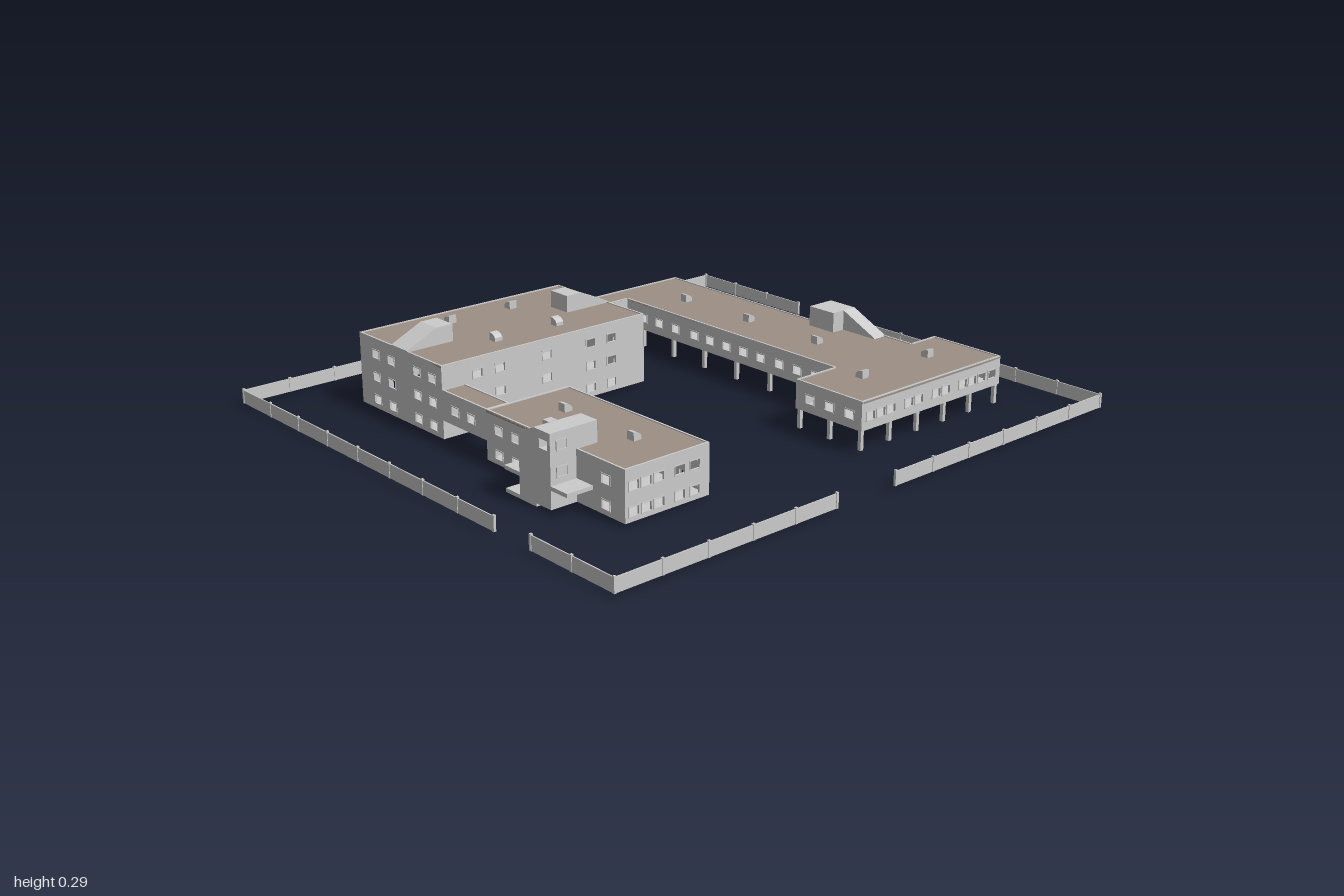
import * as THREE from 'three';
import { mergeGeometries } from 'three/addons/utils/BufferGeometryUtils.js';

const grey = new THREE.MeshStandardMaterial({ color: 0xcccccc });
const brown = new THREE.MeshStandardMaterial({ color: 0x9c8f85 });
const WALL = 0.006, WIN_W = 0.036, WIN_H = 0.028;

const toShape = (pts) => new THREE.Shape(pts.map(([x, y]) => new THREE.Vector2(x, y)));
const extrude = (shape, depth) => new THREE.ExtrudeGeometry(shape, { depth, bevelEnabled: false });
const rectPts = (x0, x1, y0, y1) => [[x0, y0], [x1, y0], [x1, y1], [x0, y1]];

function rectHole(u, y, w, h) {
  return new THREE.Path(rectPts(u - w / 2, u + w / 2, y - h / 2, y + h / 2).map((p) => new THREE.Vector2(...p)));
}

function add(parent, name, geometry, material = grey) {
  const mesh = new THREE.Mesh(geometry, material);
  mesh.name = name;
  parent.add(mesh);
  return mesh;
}

// Box given by its extents
function boxGeo(x0, x1, y0, y1, z0, z1) {
  return new THREE.BoxGeometry(x1 - x0, y1 - y0, z1 - z0)
    .translate((x0 + x1) / 2, (y0 + y1) / 2, (z0 + z1) / 2);
}

// Horizontal slab over a footprint of [x, z] corners
function slabGeo(footprint, y0, y1) {
  return extrude(toShape(footprint.map(([x, z]) => [x, -z])), y1 - y0)
    .rotateX(-Math.PI / 2).translate(0, y0, 0);
}

// Prism with a z/y profile, running from x0 to x1
function sidePrism(pts, x0, x1, hole) {
  const shape = toShape(pts);
  if (hole) shape.holes.push(hole);
  return extrude(shape, x1 - x0).rotateY(-Math.PI / 2).translate(x1, 0, 0);
}

// Raised rim around a window opening
function frameGeo(u, y) {
  const shape = toShape(rectPts(u - WIN_W / 2 - 0.002, u + WIN_W / 2 + 0.002, y - WIN_H / 2 - 0.002, y + WIN_H / 2 + 0.002));
  shape.holes.push(rectHole(u, y, WIN_W - 0.002, WIN_H - 0.002));
  return extrude(shape, 0.004).translate(0, 0, -0.002);
}

// Hollow building: one pierced wall per footprint edge, a floor and a sunken roof.
// windows[i] lists positions (world x or z) along edge i.
function building(name, footprint, y0, y1, rows, windows) {
  const group = new THREE.Group();
  group.name = name;
  const walls = [], frames = [];
  footprint.forEach(([ax, az], i) => {
    const [bx, bz] = footprint[(i + 1) % footprint.length];
    const length = Math.hypot(bx - ax, bz - az);
    const shape = toShape(rectPts(0, length, y0, y1));
    const place = (g) => g.rotateY(Math.atan2(az - bz, bx - ax)).translate(ax, 0, az);
    for (const at of windows[i] || []) {
      const u = Math.abs(at - (Math.abs(bx - ax) > Math.abs(bz - az) ? ax : az));
      for (const y of rows) {
        shape.holes.push(rectHole(u, y, WIN_W, WIN_H));
        frames.push(place(frameGeo(u, y)));
      }
    }
    walls.push(place(extrude(shape, WALL)));
  });
  add(group, 'walls', mergeGeometries(walls));
  if (frames.length) add(group, 'windowFrames', mergeGeometries(frames));
  add(group, 'floor', slabGeo(footprint, y0, y0 + 0.005));
  add(group, 'roof', slabGeo(footprint, y1 - 0.009, y1 - 0.003), brown);
  return group;
}

// Roof vent with a rounded hood
function vent(parent, x, z, y, turn) {
  const shape = new THREE.Shape();
  shape.moveTo(-0.014, 0);
  shape.lineTo(0.014, 0);
  shape.lineTo(0.014, 0.012);
  shape.quadraticCurveTo(0.01, 0.024, -0.014, 0.027);
  const mesh = add(parent, 'roofVent', extrude(shape, 0.028).translate(0, 0, -0.014));
  mesh.position.set(x, y - 0.004, z);
  mesh.rotation.y = turn;
}

// Straight fence run along x or z with evenly spaced posts
function fence(parent, ax, az, bx, bz) {
  const t = 0.002;
  const parts = [boxGeo(Math.min(ax, bx) - t, Math.max(ax, bx) + t, 0.01, 0.054, Math.min(az, bz) - t, Math.max(az, bz) + t)];
  const n = Math.max(1, Math.round(Math.hypot(bx - ax, bz - az) / 0.165));
  for (let i = 0; i <= n; i++) {
    const x = ax + (bx - ax) * i / n, z = az + (bz - az) * i / n;
    parts.push(boxGeo(x - 0.004, x + 0.004, 0.01, 0.058, z - 0.004, z + 0.004));
  }
  add(parent, 'fence', mergeGeometries(parts));
}

export function createModel() {
  const model = new THREE.Group();
  model.name = 'campus';

  // Main three-storey block
  const mainX = [-0.64, -0.575, -0.49, -0.31, -0.135, -0.05, 0.03];
  const mainZ = [-0.585, -0.5, -0.36, -0.28];
  const main = building('mainBlock', [[-0.705, -0.675], [0.087, -0.675], [0.087, -0.23], [-0.705, -0.23]],
    0.01, 0.242, [0.04, 0.115, 0.19], [mainX, mainZ, mainX.slice(1, 6), mainZ]);
  model.add(main);
  for (const x of [-0.43, -0.19]) for (const z of [-0.575, -0.33]) vent(main, x, z, 0.242, z < -0.5 ? Math.PI / 2 : -Math.PI / 2);

  // Sloping stair heads at both ends of the main roof
  const head = (pts) => add(main, 'roofStairHead', extrude(toShape(pts), 0.085).translate(0, 0, -0.495));
  head([[-0.705, 0.235], [-0.535, 0.235], [-0.535, 0.295], [-0.595, 0.295], [-0.705, 0.244]]);
  head([[-0.085, 0.235], [0.087, 0.235], [0.087, 0.244], [-0.03, 0.295], [-0.085, 0.295]]);

  // Two-storey left block
  const sideZ = [0.05, 0.11, 0.17, 0.28, 0.34, 0.45, 0.51, 0.57];
  const left = building('sideBlock', [[-0.705, -0.01], [-0.4, -0.01], [-0.4, 0.61], [-0.705, 0.61]],
    0.01, 0.167, [0.04, 0.115], [[-0.57, -0.51, -0.45], sideZ, [-0.675, -0.63, -0.585, -0.51, -0.455], [0.05, 0.13, 0.53]]);
  model.add(left);
  for (const z of [0.145, 0.45]) vent(left, -0.535, z, 0.167, 0);

  // Stair tower on the left block, with entrance canopies
  const tower = new THREE.Group();
  tower.name = 'stairTower';
  model.add(tower);
  add(tower, 'towerBase', boxGeo(-0.795, -0.705, 0.01, 0.165, 0.265, 0.405));
  add(tower, 'towerHead', sidePrism([[0.265, 0.165], [0.405, 0.165], [0.405, 0.232], [0.335, 0.232], [0.265, 0.2]],
    -0.795, -0.63, rectHole(0.375, 0.193, WIN_W, WIN_H)));
  add(tower, 'towerFlue', boxGeo(-0.68, -0.65, 0.16, 0.195, 0.225, 0.266));
  add(tower, 'towerCanopy', boxGeo(-0.795, -0.7, 0.068, 0.08, 0.195, 0.475));
  add(tower, 'towerStep', boxGeo(-0.795, -0.7, 0, 0.012, 0.2, 0.34));
  add(tower, 'towerWindows', mergeGeometries([0.115, 0.193].map((y) => frameGeo(-0.755, y).translate(0, 0, 0.406))));

  // Porch on the courtyard side of the left block
  add(model, 'porchRoof', boxGeo(-0.402, -0.322, 0.072, 0.088, 0.2, 0.405));
  for (const z of [0.21, 0.395]) add(model, 'porchPost', boxGeo(-0.334, -0.328, 0.01, 0.073, z - 0.003, z + 0.003));

  // Raised link between main and left blocks
  model.add(building('sideLink', [[-0.705, -0.235], [-0.62, -0.235], [-0.62, -0.008], [-0.705, -0.008]],
    0.07, 0.167, [0.115], [[], [-0.165, -0.085], [], [-0.165, -0.085]]));

  // Long right wing raised on columns
  const backX = [0.13, 0.18, 0.25, 0.3, 0.37, 0.42, 0.49, 0.54];
  const wingZ = [-0.585, -0.5, -0.42, -0.335, -0.24, -0.165, -0.085, -0.005];
  const courtZ = [-0.5, -0.42, -0.335, -0.24, -0.165, -0.085, -0.005, 0.075, 0.16, 0.24, 0.32];
  const frontX = [0.19, 0.235, 0.28, 0.36, 0.405, 0.485, 0.53, 0.61, 0.655, 0.7, 0.75];
  const wing = building('rightWing', [
    [0.085, -0.675], [0.622, -0.675], [0.622, 0.04], [0.677, 0.04], [0.677, 0.4], [0.79, 0.4],
    [0.79, 0.67], [0.152, 0.67], [0.152, 0.4], [0.32, 0.4], [0.32, -0.585], [0.085, -0.585]],
  0.073, 0.167, [0.115],
  [backX, wingZ, [], [], [], [0.46, 0.62], frontX, [0.46, 0.54, 0.62], [0.21, 0.27], courtZ, [0.14, 0.2, 0.26]]);
  model.add(wing);
  for (const z of [-0.435, -0.125, 0.19]) vent(wing, 0.46, z, 0.167, 0);
  for (const x of [0.32, 0.62]) vent(wing, x, 0.515, 0.167, Math.PI / 2);

  // Roof stair with a sloping tail
  add(wing, 'wingStairHead', boxGeo(0.577, 0.677, 0.155, 0.23, 0.043, 0.15));
  add(wing, 'wingStairSlope', sidePrism([[0.15, 0.155], [0.295, 0.155], [0.285, 0.168], [0.15, 0.23]], 0.625, 0.677));

  // Columns under the wing
  const columns = [];
  const column = (x, z) => columns.push(boxGeo(x - 0.006, x + 0.006, 0.01, 0.075, z - 0.006, z + 0.006));
  for (let i = 0; i < 6; i++) for (const z of [0.41, 0.535, 0.66]) column(0.162 + i * 0.1236, z);
  for (let i = 0; i < 7; i++) for (const x of [0.33, 0.612]) column(x, -0.665 + i * 0.155);
  for (const x of [0.13, 0.23]) for (const z of [-0.665, -0.595]) column(x, z);
  add(wing, 'columns', mergeGeometries(columns));

  // Boundary fence with gate gaps on every side
  const E = 0.994;
  [[-E, -0.912, 0.33, -0.912], [0.495, -0.912, E, -0.912],
    [-E, 0.91, -0.205, 0.91], [0.035, 0.91, E, 0.91],
    [-E, -0.912, -E, 0.415], [-E, 0.575, -E, 0.91],
    [E, -0.912, E, -0.415], [E, -0.25, E, 0.91]].forEach((run) => fence(model, ...run));

  return model;
}
